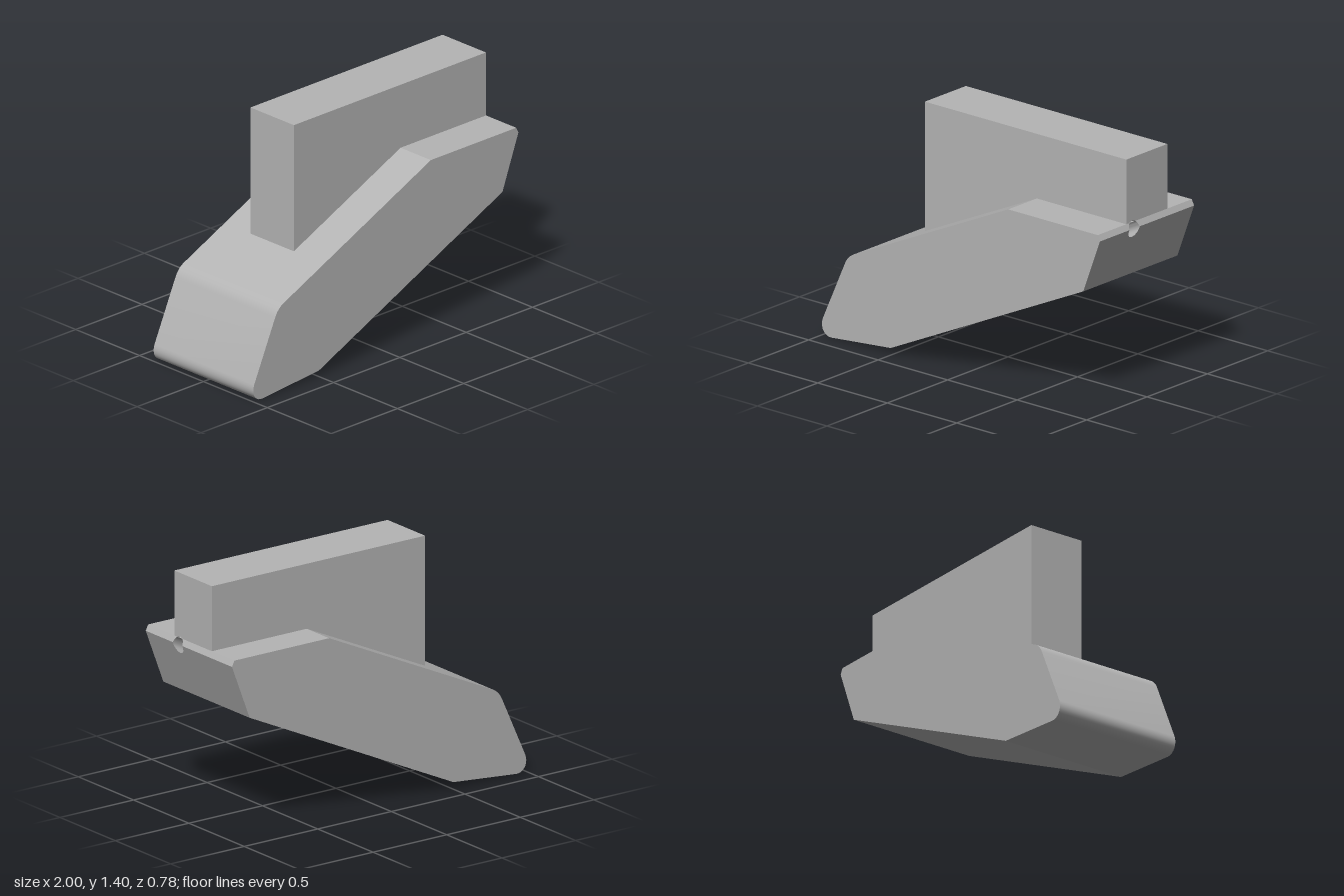
import * as THREE from 'three';
import { toCreasedNormals } from 'three/addons/utils/BufferGeometryUtils.js';

const HULL_Z = [-0.39, 0.39], BLOCK_Z = [-0.187, 0.153];
const TOP = 1.033, ROOF = 1.405, END = 0.984;
// oblique socket in the end face: centre, radii, direction and depth
const HOLE = { y: 0.993, z: 0.103, ry: 0.048, rz: 0.043 };
const DIR = new THREE.Vector3(-0.908, -0.42, 0).multiplyScalar(0.4);

// x of the end face at a given height: undercut, small chamfer, then upright
function endX(y) {
  if (y <= 1) return 0.88 + 0.12 * (y - 0.685) / 0.315;
  if (y <= TOP) return 1 - (1 - END) * (y - 1) / (TOP - 1);
  return END;
}

function fromQuads(quads, crease) {
  const pts = quads.flatMap(([a, b, c, d]) => d ? [a, b, c, a, c, d] : [a, b, c]);
  const geo = new THREE.BufferGeometry().setFromPoints(pts);
  geo.computeVertexNormals();
  return crease ? toCreasedNormals(geo, crease) : geo;
}

// extrude a side profile across z, leaving out the faces that match skip(normal)
function extrudeOpen(shape, [z0, z1], skip) {
  const src = new THREE.ExtrudeGeometry(shape, { depth: z1 - z0, bevelEnabled: false, curveSegments: 10 });
  src.translate(0, 0, z0);
  const p = src.attributes.position, quads = [], n = new THREE.Vector3();
  for (let i = 0; i < p.count; i += 3) {
    const t = [0, 1, 2].map(k => new THREE.Vector3().fromBufferAttribute(p, i + k));
    new THREE.Triangle(...t).getNormal(n);
    if (!skip(n)) quads.push(t);
  }
  return fromQuads(quads, 0.3);
}

// end face between two heights, with the socket mouth left open
function endFace(y0, y1, [z0, z1]) {
  const levels = [y0, y1, 1];
  for (let i = 0; i <= 16; i++) levels.push(HOLE.y - HOLE.ry * Math.cos(Math.PI * i / 16));
  const ys = [...new Set(levels)].filter(y => y >= y0 && y <= y1).sort((a, b) => a - b);
  const half = y => HOLE.rz * Math.sqrt(Math.max(0, 1 - ((y - HOLE.y) / HOLE.ry) ** 2));
  const at = (y, z) => new THREE.Vector3(endX(y), y, z);
  const quads = [];
  for (let i = 0; i + 1 < ys.length; i++) {
    const a = ys[i], b = ys[i + 1], wa = half(a), wb = half(b);
    quads.push([at(a, z1), at(a, HOLE.z + wa), at(b, HOLE.z + wb), at(b, z1)]);
    quads.push([at(a, HOLE.z - wa), at(a, z0), at(b, z0), at(b, HOLE.z - wb)]);
  }
  return fromQuads(quads);
}

// inside wall and floor of the socket
function socketGeometry(n = 32) {
  const mouth = i => {
    const a = 2 * Math.PI * i / n, y = HOLE.y + HOLE.ry * Math.sin(a);
    return new THREE.Vector3(endX(y), y, HOLE.z + HOLE.rz * Math.cos(a));
  };
  const centre = new THREE.Vector3(endX(HOLE.y), HOLE.y, HOLE.z).add(DIR);
  const quads = [];
  for (let i = 0; i < n; i++) {
    const m0 = mouth(i), m1 = mouth(i + 1), e0 = m0.clone().add(DIR), e1 = m1.clone().add(DIR);
    quads.push([m0, e0, e1, m1], [centre, e1, e0]);
  }
  return fromQuads(quads, 0.6);
}

export function createModel() {
  const group = new THREE.Group();
  const grey = new THREE.MeshStandardMaterial({ color: 0xb4b4b4 });
  grey.name = 'grey';
  const add = (name, geo) => {
    const mesh = new THREE.Mesh(geo, grey);
    mesh.name = name;
    group.add(mesh);
  };

  // slanted body with rounded nose and shoulder
  const body = new THREE.Shape();
  body.moveTo(0.88, 0.685);
  body.lineTo(1, 1);
  body.lineTo(END, TOP);
  body.lineTo(0.34, TOP);
  body.lineTo(-0.77, 0.518);
  body.quadraticCurveTo(-0.813, 0.498, -0.835, 0.45);
  body.lineTo(-0.993, 0.1);
  body.bezierCurveTo(-1.015, 0.045, -0.98, -0.003, -0.93, 0.002);
  body.lineTo(-0.505, 0.04);
  add('body', extrudeOpen(body, HULL_Z, n => n.x > 0.5));

  // upright block standing on the body
  const block = new THREE.Shape();
  block.moveTo(-0.465, 0.66);
  block.lineTo(0.34, TOP);
  block.lineTo(END, TOP);
  block.lineTo(END, ROOF);
  block.lineTo(-0.465, ROOF);
  add('block', extrudeOpen(block, BLOCK_Z, n => n.x > 0.5 || n.y < -0.5));

  add('bodyEnd', endFace(0.685, TOP, HULL_Z));
  add('blockEnd', endFace(TOP, ROOF, BLOCK_Z));
  add('socket', socketGeometry());
  return group;
}
